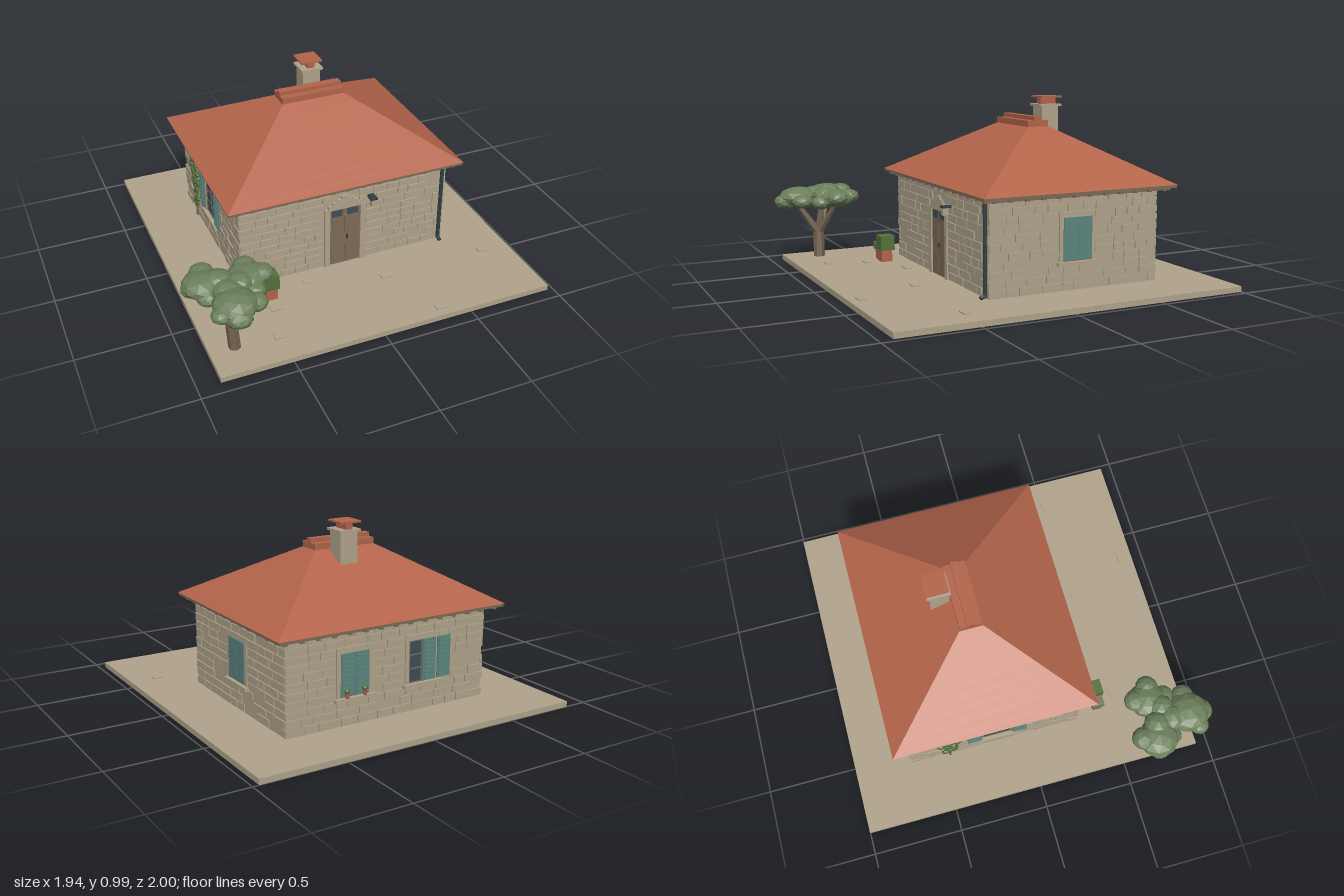
import * as THREE from 'three';

const mat = (name, color, extra = {}) => {
  const m = new THREE.MeshStandardMaterial({ color, ...extra });
  m.name = name;
  return m;
};

export function createModel() {
  const M = {
    stone: mat('stone', 0xb0a38b),
    roof: mat('terracotta', 0xb3644a),
    wood: mat('wood', 0x7d6a57),
    teal: mat('teal paint', 0x5b857f),
    iron: mat('dark iron', 0x2f3f45),
    glass: mat('glass', 0x3c4e58),
    leaf: mat('tree leaves', 0x6b7f5a, { flatShading: true }),
    bush: mat('bush green', 0x54703a, { flatShading: true }),
    bark: mat('bark', 0x75644f, { flatShading: true }),
  };
  const root = new THREE.Group();
  root.name = 'stoneCottage';
  let seed = 11;
  const rand = () => (seed = (seed * 16807) % 2147483647) / 2147483647;

  const add = (parent, name, geo, material, x = 0, y = 0, z = 0) => {
    const m = new THREE.Mesh(geo, material);
    m.name = name;
    m.position.set(x, y, z);
    parent.add(m);
    return m;
  };
  // box given by its minimum and maximum on each axis
  const box = (p, name, material, x0, x1, y0, y1, z0, z1) =>
    add(p, name, new THREE.BoxGeometry(x1 - x0, y1 - y0, z1 - z0), material,
      (x0 + x1) / 2, (y0 + y1) / 2, (z0 + z1) / 2);
  // tapered rod between two points
  const rod = (p, name, material, a, b, r0, r1, sides = 7) => {
    const A = new THREE.Vector3(...a), B = new THREE.Vector3(...b), d = B.clone().sub(A);
    const m = add(p, name, new THREE.CylinderGeometry(r1, r0, d.length(), sides), material);
    m.position.copy(A.add(B).multiplyScalar(0.5));
    m.quaternion.setFromUnitVectors(new THREE.Vector3(0, 1, 0), d.normalize());
  };
  // box whose top has a different size
  const frustum = (w0, d0, w1, d1, h) => {
    const g = new THREE.BoxGeometry(1, h, 1), p = g.attributes.position;
    for (let i = 0; i < p.count; i++) {
      const top = p.getY(i) > 0;
      p.setX(i, p.getX(i) * (top ? w1 : w0));
      p.setZ(i, p.getZ(i) * (top ? d1 : d0));
    }
    g.computeVertexNormals();
    return g;
  };

  // ground and paving
  box(root, 'ground', M.stone, -0.88, 0.968, 0, 0.03, -1, 0.932);
  [[-0.51, 0.76], [-0.45, 0.55], [-0.21, 0.4], [0.2, 0.52], [0.35, 0.865], [0.81, 0.51]].forEach(([x, z]) =>
    box(root, 'pavingStone', M.stone, x - 0.03, x + 0.03, 0.03, 0.036, z - 0.02, z + 0.02));

  // walls: each side is a group with u to its right and z outwards
  const CX = 0.047, CZ = -0.184, HW = 0.6, HD = 0.49;
  box(root, 'wallCore', M.stone, CX - HW, CX + HW, 0.03, 0.535, CZ - HD, CZ + HD);
  const side = (name, angle, half, depth, openings) => {
    const g = new THREE.Group();
    g.name = name;
    g.position.set(CX + Math.sin(angle) * depth, 0, CZ + Math.cos(angle) * depth);
    g.rotation.y = angle;
    root.add(g);
    const rows = 11, h = 0.498 / rows;
    for (let r = 0; r < rows; r++) {
      const y0 = 0.032 + r * h, y1 = y0 + h;
      let start = -half - 0.006;
      const blocks = openings.filter(o => o[2] < y1 - 0.005 && o[3] > y0 + 0.005).sort((a, b) => a[0] - b[0]);
      [...blocks, [half + 0.006]].forEach(o => {
        let u = start;
        while (o[0] - u > 0.02) {
          let w = 0.06 + rand() * 0.085;
          if (o[0] - u - w < 0.05) w = o[0] - u;
          if (rand() > 0.1) box(g, 'wallStone', M.stone, u + 0.003, u + w - 0.003, y0 + 0.003, y1 - 0.003, -0.01, 0.005 + rand() * 0.004);
          u += w;
        }
        start = o[1];
      });
    }
    return g;
  };
  const hole = u => [u - 0.105, u + 0.105, 0.165, 0.44];
  const front = side('frontWall', 0, HW, HD, [[-0.125, 0.12, 0, 0.4], [-0.085, 0.08, 0.4, 0.47]]);
  const right = side('rightWall', Math.PI / 2, HD, HW, [hole(0.007)]);
  const back = side('backWall', Math.PI, HW, HD, [hole(-0.213), hole(0.2)]);
  const left = side('leftWall', -Math.PI / 2, HD, HW, [hole(0.01)]);

  // shutter leaf with slats
  const shutter = (g, u0, u1, z) => {
    box(g, 'shutter', M.teal, u0, u1, 0.19, 0.41, z, z + 0.007);
    for (let i = 0; i < 9; i++)
      box(g, 'shutterSlat', M.teal, u0 + 0.008, u1 - 0.008, 0.2 + i * 0.0225, 0.213 + i * 0.0225, z + 0.005, z + 0.012);
  };
  const windowAt = (g, u) => {
    box(g, 'windowHeader', M.stone, u - 0.105, u + 0.105, 0.41, 0.44, -0.01, 0.011);
    for (const s of [-1, 1]) box(g, 'windowJamb', M.stone, u + s * 0.094 - 0.011, u + s * 0.094 + 0.011, 0.18, 0.41, -0.01, 0.011);
    box(g, 'windowSill', M.stone, u - 0.118, u + 0.118, 0.163, 0.182, -0.01, 0.027);
    box(g, 'windowGlass', M.glass, u - 0.083, u + 0.083, 0.182, 0.41, -0.005, 0.003);
    for (const k of [-0.079, 0, 0.079]) box(g, 'windowBar', M.wood, u + k - 0.004, u + k + 0.004, 0.182, 0.41, 0, 0.007);
    for (const y of [0.186, 0.26, 0.333, 0.406]) box(g, 'windowRail', M.wood, u - 0.083, u + 0.083, y - 0.003, y + 0.003, 0, 0.006);
  };
  windowAt(right, 0.007);
  for (const s of [-1, 1]) box(right, 'closedShutter', M.teal, 0.007 + (s < 0 ? -0.083 : 0.001), 0.007 + (s < 0 ? -0.001 : 0.083), 0.19, 0.41, 0.006, 0.016);
  windowAt(back, -0.213);
  shutter(back, -0.296, -0.214, 0.008);
  shutter(back, -0.212, -0.13, 0.008);
  windowAt(back, 0.2);
  shutter(back, 0.202, 0.283, 0.008);
  shutter(back, 0.292, 0.374, 0.012);
  windowAt(left, 0.01);
  shutter(left, -0.16, -0.078, 0.012);
  shutter(left, 0.098, 0.18, 0.012);

  // sill pots
  for (const u of [-0.265, -0.16]) {
    add(back, 'sillPot', new THREE.CylinderGeometry(0.013, 0.009, 0.026, 8), M.roof, u, 0.195, 0.024);
    add(back, 'sillPlant', new THREE.IcosahedronGeometry(0.016, 0), M.bush, u, 0.218, 0.024);
  }

  // climbing plant
  rod(left, 'vineStem', M.bark, [-0.27, 0.03, 0.012], [-0.26, 0.46, 0.012], 0.008, 0.004, 5);
  for (let i = 0; i < 26; i++) {
    const y = 0.12 + i * 0.0145;
    const m = add(left, 'vineLeaf', new THREE.IcosahedronGeometry(0.026, 0), M.bush,
      -0.265 + (rand() - 0.5) * (0.05 + 0.1 * Math.min(1, y / 0.35)), y, 0.014);
    m.scale.set(1, 0.85, 0.5);
  }

  // door and its stepped arch
  const DU = -0.002;
  const arch = new THREE.Shape();
  const steps = [[0.121, 0.4], [0.1, 0.42], [0.075, 0.437], [0.05, 0.452], [0.022, 0.47]];
  arch.moveTo(DU - 0.121, 0.03);
  steps.forEach(([u, y], i) => {
    arch.lineTo(DU - u, y);
    arch.lineTo(DU - (steps[i + 1] || steps[i])[0], y);
  });
  [...steps].reverse().forEach(([u, y], i, a) => {
    arch.lineTo(DU + u, y);
    if (i < a.length - 1) arch.lineTo(DU + u, a[i + 1][1]);
  });
  arch.lineTo(DU + 0.121, 0.03);
  arch.lineTo(DU + 0.09, 0.03);
  arch.lineTo(DU + 0.09, 0.39);
  arch.lineTo(DU - 0.09, 0.39);
  arch.lineTo(DU - 0.09, 0.03);
  add(front, 'doorSurround', new THREE.ExtrudeGeometry(arch, { depth: 0.014, bevelEnabled: false }), M.stone);
  for (const s of [-1, 1]) {
    const c = DU + s * 0.0455;
    box(front, 'doorLeaf', M.wood, c - 0.0445, c + 0.0445, 0.03, 0.39, -0.01, 0.004);
    box(front, 'doorPane', M.glass, c - 0.03, c + 0.03, 0.343, 0.383, 0, 0.007);
    for (const [y0, y1] of [[0.06, 0.17], [0.2, 0.325]]) box(front, 'doorPanel', M.wood, c - 0.03, c + 0.03, y0, y1, 0, 0.007);
  }
  box(front, 'doorHandle', M.iron, 0.007, 0.013, 0.19, 0.213, 0.004, 0.015);

  // wall lantern
  box(root, 'lampArm', M.iron, 0.175, 0.215, 0.427, 0.437, 0.305, 0.362);
  box(root, 'lantern', M.stone, 0.181, 0.209, 0.387, 0.427, 0.328, 0.358);

  // downpipe
  rod(root, 'downpipe', M.iron, [0.627, 0.045, 0.319], [0.627, 0.54, 0.319], 0.011, 0.011, 10);
  rod(root, 'downpipeFoot', M.iron, [0.627, 0.05, 0.315], [0.627, 0.038, 0.345], 0.011, 0.011, 10);

  // eaves and rafters
  const RX = 0.047, RZ = -0.193;
  box(root, 'eaveBoard', M.wood, RX - 0.675, RX + 0.675, 0.531, 0.549, RZ - 0.56, RZ + 0.56);
  for (let i = 0; i <= 14; i++) {
    const x = RX - 0.63 + i * 0.09;
    box(root, 'rafterLong', M.wood, x - 0.01, x + 0.01, 0.517, 0.533, RZ - 0.545, RZ + 0.545);
  }
  for (let i = 0; i <= 11; i++) {
    const z = RZ - 0.495 + i * 0.09;
    box(root, 'rafterCross', M.wood, RX - 0.66, RX + 0.66, 0.517, 0.533, z - 0.01, z + 0.01);
  }

  // hipped roof laid in overlapping tile courses
  const rows = 9, y0 = 0.547, y1 = 0.836, rh = (y1 - y0) / rows;
  for (let i = 0; i < rows; i++) {
    const w = t => 1.355 - 0.99 * t, d = t => 1.125 - t, a = i / rows, b = (i + 1) / rows;
    add(root, 'roofCourse', frustum(w(a) + 0.004, d(a) + 0.004, w(b), d(b), rh), M.roof, RX, y0 + (i + 0.5) * rh, RZ);
  }
  box(root, 'ridgeCap', M.roof, -0.137, 0.228, 0.832, 0.869, -0.255, -0.132);
  box(root, 'ridgeTop', M.roof, -0.137, 0.228, 0.865, 0.89, -0.213, -0.172);

  // chimney
  box(root, 'chimney', M.stone, 0.04, 0.143, 0.6, 0.94, -0.368, -0.265);
  box(root, 'chimneySlab', M.stone, 0.028, 0.155, 0.938, 0.95, -0.382, -0.253);
  box(root, 'chimneyVent', M.roof, 0.071, 0.112, 0.95, 0.985, -0.369, -0.274);
  box(root, 'chimneyCap', M.roof, 0.03, 0.152, 0.984, 0.994, -0.385, -0.26);

  // potted shrubs
  box(root, 'largePot', M.roof, -0.476, -0.41, 0.03, 0.097, 0.41, 0.474);
  box(root, 'largeShrub', M.bush, -0.485, -0.402, 0.097, 0.18, 0.397, 0.481);
  box(root, 'smallPot', M.roof, -0.537, -0.485, 0.03, 0.087, 0.415, 0.465);
  box(root, 'smallShrub', M.leaf, -0.543, -0.483, 0.087, 0.13, 0.403, 0.475);
  rod(root, 'flowerStem', M.bush, [-0.512, 0.12, 0.439], [-0.512, 0.158, 0.439], 0.003, 0.003, 5);
  box(root, 'flower', M.roof, -0.523, -0.501, 0.15, 0.168, 0.428, 0.45);

  // umbrella tree
  const tree = new THREE.Group();
  tree.name = 'tree';
  root.add(tree);
  const fork = [-0.755, 0.19, 0.742];
  rod(tree, 'trunk', M.bark, [-0.745, 0.03, 0.745], fork, 0.033, 0.032);
  const tips = [[-0.85, 0.37, 0.65], [-0.64, 0.37, 0.66], [-0.765, 0.37, 0.88], [-0.74, 0.39, 0.72]];
  tips.forEach(t => rod(tree, 'branch', M.bark, [fork[0], 0.165, fork[2]], t, 0.025, 0.012, 6));
  // canopy blobs: x, z, radius, y
  [[-0.86, 0.655, 0.11, 0.39], [-0.64, 0.665, 0.105, 0.385], [-0.765, 0.855, 0.115, 0.39],
    [-0.845, 0.575, 0.065, 0.4], [-0.915, 0.645, 0.058, 0.37], [-0.79, 0.67, 0.075, 0.405],
    [-0.86, 0.73, 0.06, 0.365], [-0.63, 0.595, 0.062, 0.395], [-0.57, 0.68, 0.062, 0.395],
    [-0.7, 0.72, 0.07, 0.4], [-0.635, 0.76, 0.058, 0.365], [-0.77, 0.93, 0.068, 0.365],
    [-0.845, 0.895, 0.055, 0.375], [-0.665, 0.86, 0.062, 0.375], [-0.77, 0.76, 0.08, 0.395]].forEach(([x, z, r, y], i) => {
    const m = add(tree, 'foliage', new THREE.IcosahedronGeometry(r, 1), M.leaf, x, y, z);
    m.scale.y = r > 0.09 ? 0.52 : 0.68;
    m.rotation.y = i * 1.3;
  });
  return root;
}
